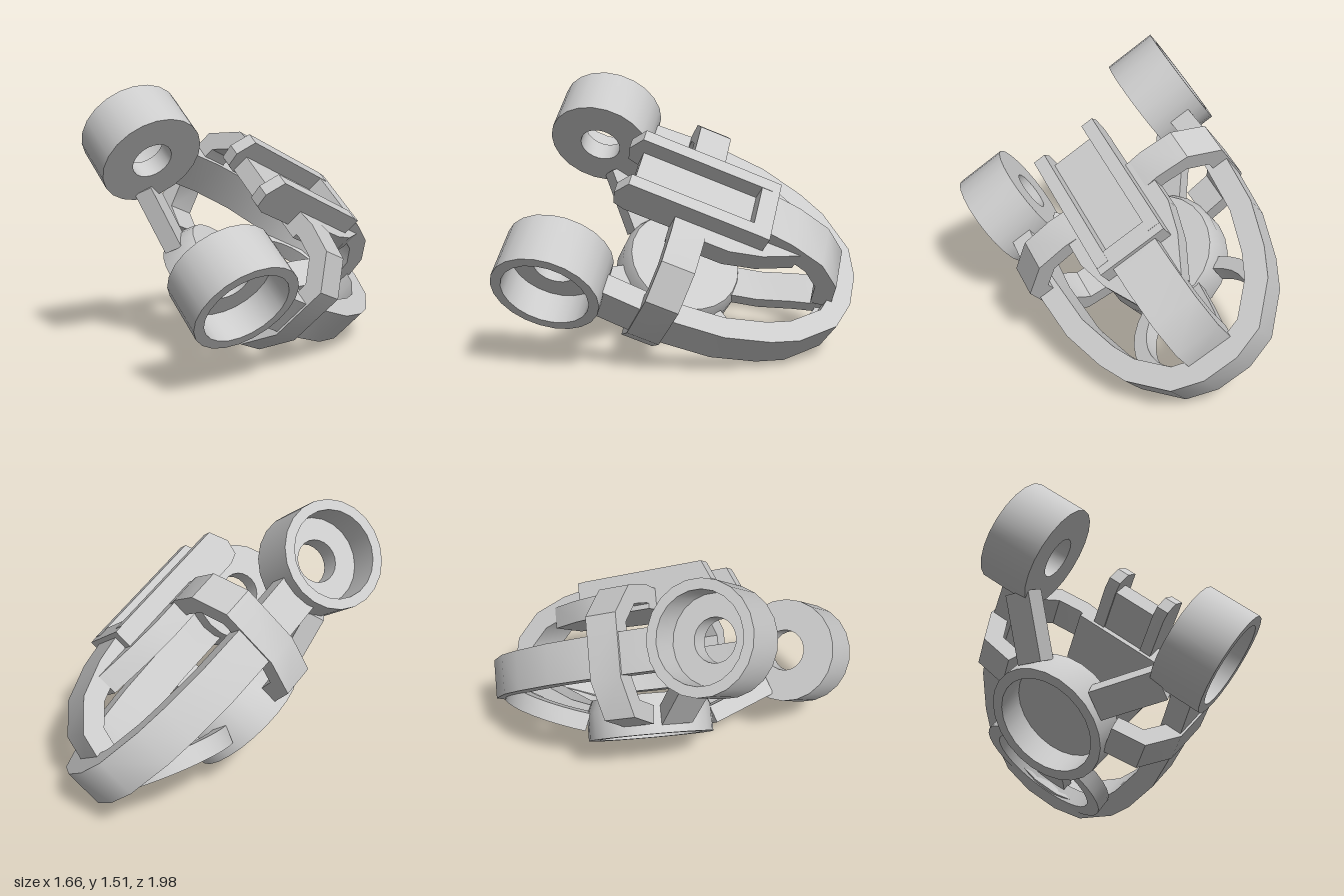
import * as THREE from 'three';
import { toCreasedNormals } from 'three/addons/utils/BufferGeometryUtils.js';

const material = new THREE.MeshStandardMaterial({ color: 0xcccccc, side: THREE.DoubleSide });

const vectors = (points) => points.map(([x, y]) => new THREE.Vector2(x, y));

// Outline of a strip of constant thickness along a polyline, with mitred corners.
function stripShape(points, thickness) {
  const p = vectors(points);
  const left = [], right = [];
  p.forEach((c, i) => {
    const a = c.clone().sub(p[Math.max(i - 1, 0)]).normalize();
    const b = p[Math.min(i + 1, p.length - 1)].clone().sub(c).normalize();
    const t = a.clone().add(b).normalize();
    const n = new THREE.Vector2(-t.y, t.x);
    const ref = a.lengthSq() > 0 ? a : b;
    const k = thickness / 2 / Math.max(0.5, t.dot(ref));
    left.push(c.clone().addScaledVector(n, k));
    right.unshift(c.clone().addScaledVector(n, -k));
  });
  return new THREE.Shape([...left, ...right]);
}

const extrude = (shape, from, to) =>
  new THREE.ExtrudeGeometry(shape, { depth: to - from, bevelEnabled: false }).translate(0, 0, from);

const mirrorPath = (half) => [...half, ...half.slice().reverse().map(([x, y]) => [-x, y])];

export function createModel() {
  // Tilted assembly: x runs across, y is its own up, -z points to the closed end of the frame.
  const body = new THREE.Group();
  body.name = 'tiltedAssembly';
  const add = (name, geometry) => {
    const mesh = new THREE.Mesh(toCreasedNormals(geometry, 0.6), material);
    mesh.name = name;
    body.add(mesh);
    return mesh;
  };

  // U-shaped frame
  const frame = mirrorPath([[0.555, 0.25], [0.575, 0.6], [0.545, 0.93], [0.47, 1.17], [0.4, 1.31], [0.24, 1.48], [0.09, 1.53]]);
  add('frame', extrude(stripShape(frame, 0.12), -0.12, 0.1).rotateX(-Math.PI / 2));

  // Sloping hoop under the closed end, running down into the cup
  const hoop = [];
  for (let i = 0; i <= 24; i++) {
    const a = THREE.MathUtils.degToRad(-50 + (280 * i) / 24);
    hoop.push([0.36 * Math.cos(a), 0.34 * Math.sin(a)]);
  }
  const lowerHoop = add('lowerHoop', extrude(stripShape(hoop, 0.08), -0.05, 0.05).rotateX(-Math.PI / 2));
  lowerHoop.rotation.x = 0.42;
  lowerHoop.position.set(0, -0.2, -1.2);

  // Pivot bosses with a counterbore on the outside, and the struts below them
  const bossProfile = vectors([[0.115, -0.145], [0.29, -0.145], [0.29, 0.148], [0.235, 0.148], [0.235, -0.03], [0.115, -0.03], [0.115, -0.145]]);
  for (const side of [-1, 1]) {
    const boss = add('pivotBoss', new THREE.LatheGeometry(bossProfile, 22));
    boss.rotation.z = -side * Math.PI / 2;
    boss.position.x = side * 0.543;

    const start = new THREE.Vector3(side * 0.45, -0.19, -0.17);
    const end = new THREE.Vector3(side * 0.2, -0.33, -0.42);
    const strut = add('bossStrut', new THREE.BoxGeometry(0.17, 0.1, start.distanceTo(end)));
    strut.position.copy(start).lerp(end, 0.5);
    strut.lookAt(end);

    // Side strap from the top bracket past the arm and down to the cup
    const strap = [[0.15, 0.31], [0.3, 0.33], [0.46, 0.31], [0.59, 0.18], [0.59, -0.12], [0.5, -0.29], [0.33, -0.32]]
      .map(([x, y]) => [side * x, y]);
    add('sideStrap', extrude(stripShape(strap, 0.1), -0.66, -0.48));

    // Rail on the top bracket, chamfered at its free end
    const rail = new THREE.Shape(vectors([[0.93, 0.27], [0.93, 0.475], [0.19, 0.475], [0.14, 0.37], [0.16, 0.29], [0.22, 0.27]]));
    add('bracketRail', extrude(rail, -0.035, 0.035).rotateY(Math.PI / 2)).position.x = side * 0.16;
  }

  // Top bracket: slot floor, end wall and the tapered plate under them
  const floor = add('bracketFloor', new THREE.BoxGeometry(0.36, 0.1, 0.72));
  floor.position.set(0, 0.33, -0.58);
  const endWall = add('bracketEndWall', new THREE.BoxGeometry(0.39, 0.2, 0.1));
  endWall.position.set(0, 0.373, -0.92);
  const plate = new THREE.Shape(vectors(mirrorPath([[0.28, 0.48], [0.28, 0.8], [0.23, 0.98], [0.13, 1.18]])));
  add('bracketPlate', extrude(plate, 0.25, 0.37).rotateX(-Math.PI / 2));

  // Straps from the bracket and from the cup to the closed end of the frame
  const topStrap = stripShape([[0.9, 0.4], [1.1, 0.37], [1.28, 0.31], [1.4, 0.2], [1.44, 0.04]], 0.11);
  add('frontStrap', extrude(topStrap, -0.13, 0.13).rotateY(Math.PI / 2));
  const lowStrap = stripShape([[1.48, -0.02], [1.32, -0.1], [1.15, -0.2], [0.98, -0.26]], 0.07);
  add('lowerStrap', extrude(lowStrap, -0.1, 0.1).rotateY(Math.PI / 2));

  // Cup, closed above and open below
  const cupProfile = vectors([[0, -0.26], [0.29, -0.26], [0.29, -0.42], [0.35, -0.42], [0.35, -0.27], [0.32, -0.2], [0, -0.2]]);
  add('cup', new THREE.LatheGeometry(cupProfile, 24)).position.z = -0.69;

  // Tilt the assembly into place
  const across = new THREE.Vector3(0.447, -0.585, 0.677).normalize();
  const up = new THREE.Vector3(0.673, 0.718, 0.176);
  up.addScaledVector(across, -up.dot(across)).normalize();
  const back = new THREE.Vector3().crossVectors(across, up);
  body.quaternion.setFromRotationMatrix(new THREE.Matrix4().makeBasis(across, up, back));
  body.position.set(-0.27, 0.885, 0.32);

  const model = new THREE.Group();
  model.name = 'pivotFrame';
  model.add(body);
  return model;
}
